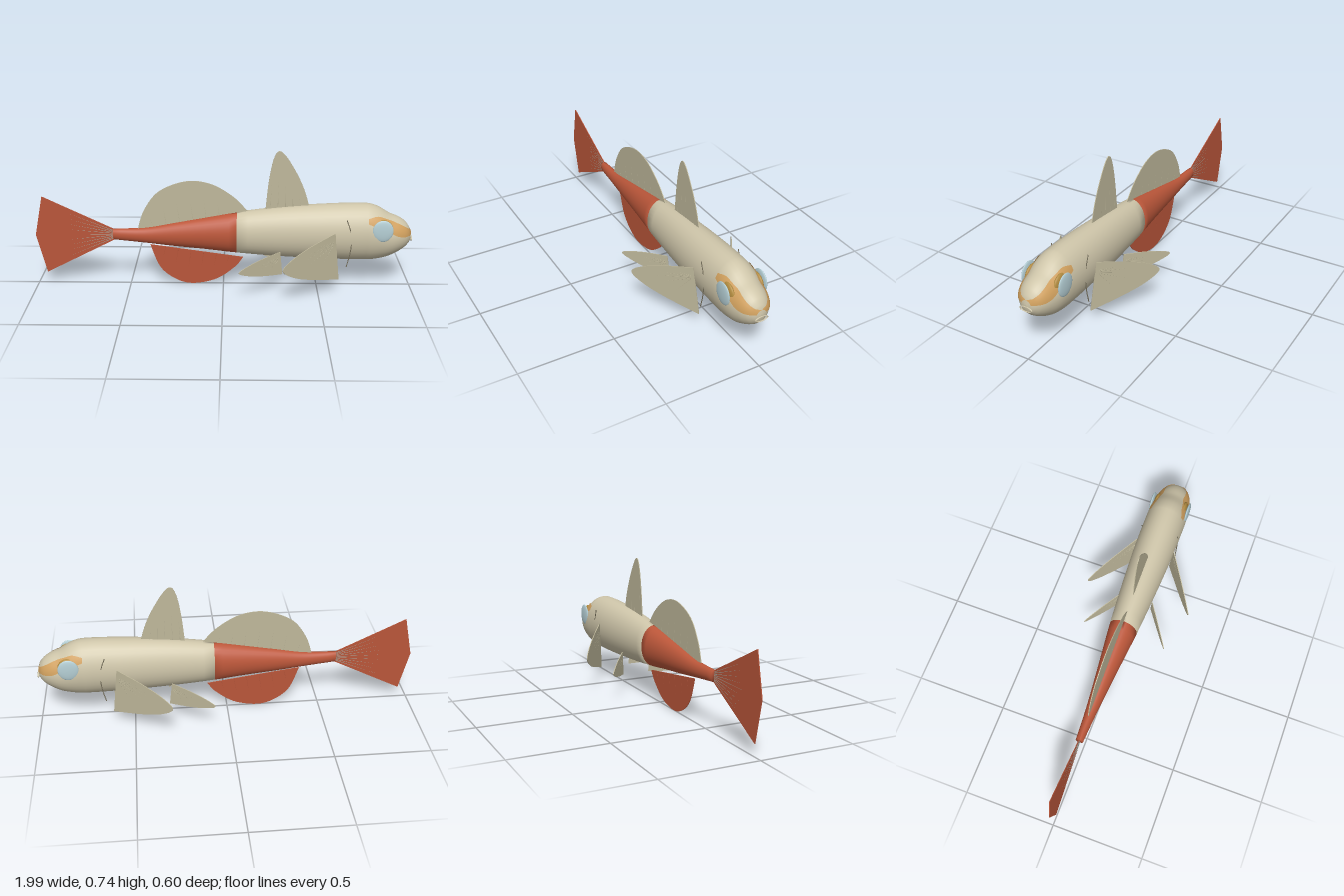
import * as THREE from 'three';

const paint = (name, color, side = THREE.FrontSide) => {
  const m = new THREE.MeshStandardMaterial({ color, side });
  m.name = name;
  return m;
};

// Body stations, tail to snout: x, top, bottom, half width
const STATIONS = [
  [-0.585, 0.316, 0.257, 0.02], [-0.42, 0.323, 0.24, 0.03], [-0.26, 0.352, 0.222, 0.044],
  [-0.1, 0.382, 0.207, 0.06], [0.07, 0.413, 0.188, 0.077], [0.3, 0.443, 0.17, 0.094],
  [0.55, 0.462, 0.159, 0.107], [0.75, 0.466, 0.155, 0.109], [0.81, 0.45, 0.161, 0.107],
  [0.87, 0.414, 0.177, 0.099], [0.92, 0.393, 0.202, 0.085], [0.955, 0.37, 0.226, 0.066],
  [0.975, 0.345, 0.247, 0.045], [0.984, 0.325, 0.262, 0.028], [0.989, 0.3, 0.284, 0.008],
];

// Cubic interpolation of a table along its first column
function lookup(table, x) {
  let i = 0;
  while (i < table.length - 2 && x > table[i + 1][0]) i++;
  const a = table[i], b = table[i + 1];
  const p = table[Math.max(i - 1, 0)], q = table[Math.min(i + 2, table.length - 1)];
  const h = b[0] - a[0], t = (x - a[0]) / h, t2 = t * t, t3 = t2 * t;
  return a.slice(1).map((v, k) => {
    const w = b[k + 1];
    const m0 = (w - p[k + 1]) / (b[0] - p[0]) * h, m1 = (q[k + 1] - v) / (q[0] - a[0]) * h;
    return (2 * t3 - 3 * t2 + 1) * v + (t3 - 2 * t2 + t) * m0 + (3 * t2 - 2 * t3) * w + (t3 - t2) * m1;
  });
}
function section(x) {
  const [top, bottom, hw] = lookup(STATIONS, x);
  return { cy: (top + bottom) / 2, hh: (top - bottom) / 2, hw };
}

function indexed(pos, idx) {
  const g = new THREE.BufferGeometry();
  g.setAttribute('position', new THREE.Float32BufferAttribute(pos, 3));
  g.setIndex(idx);
  g.computeVertexNormals();
  return g;
}

// Elliptical loft between two stations, closed at both ends
function loft(from, to) {
  const N = 32, xs = [], pos = [], idx = [];
  for (let s = from; s < to; s++)
    for (let k = 0; k < 4; k++)
      xs.push(STATIONS[s][0] + (STATIONS[s + 1][0] - STATIONS[s][0]) * k / 4);
  xs.push(STATIONS[to][0]);
  for (const x of xs) {
    const { cy, hh, hw } = section(x);
    for (let j = 0; j < N; j++) {
      const a = j / N * Math.PI * 2;
      pos.push(x, cy + hh * Math.cos(a), hw * Math.sin(a));
    }
  }
  for (let i = 0; i < xs.length - 1; i++)
    for (let j = 0; j < N; j++) {
      const a = i * N + j, b = i * N + (j + 1) % N;
      idx.push(a, b, a + N, b, b + N, a + N);
    }
  const last = (xs.length - 1) * N;
  for (let j = 1; j < N - 1; j++) idx.push(0, j + 1, j, last, last + j, last + j + 1);
  return indexed(pos, idx);
}

// Band rows: x, lower edge y, upper edge y
const BAND = [
  [0.75, 0.385, 0.41], [0.8, 0.365, 0.418], [0.85, 0.345, 0.4], [0.9, 0.318, 0.379],
  [0.94, 0.307, 0.358], [0.97, 0.305, 0.338], [0.985, 0.303, 0.322],
];

// Curved patch that follows one side of the head
function bandGeometry(side) {
  const M = 24, K = 6, pos = [], idx = [];
  for (let i = 0; i <= M; i++) {
    const x = 0.75 + 0.235 * i / M, [lo, hi] = lookup(BAND, x), { cy, hh, hw } = section(x);
    for (let k = 0; k <= K; k++) {
      const s = THREE.MathUtils.clamp((lo + (hi - lo) * k / K - cy) / hh, -1, 1);
      const c = Math.sqrt(1 - s * s), n = new THREE.Vector2(s / hh, c / hw).normalize();
      pos.push(x + 0.002, cy + hh * s + n.x * 0.003, side * (hw * c + n.y * 0.003));
      if (i < M && k < K) {
        const a = i * (K + 1) + k, b = a + K + 1;
        if (side > 0) idx.push(a, b, a + 1, b, b + 1, a + 1);
        else idx.push(a, a + 1, b, b, a + 1, b + 1);
      }
    }
  }
  return indexed(pos, idx);
}

// Flat fin: straight base corners, curved or straight rim, and rays from base to rim
function fin(name, rim, rays, mat, rayMat, curved = true) {
  const group = new THREE.Group();
  group.name = name;
  const v = rim.map(([x, y]) => new THREE.Vector2(x, y));
  const shape = new THREE.Shape();
  shape.moveTo(v[0].x, v[0].y);
  if (curved) shape.splineThru(v.slice(1));
  else v.slice(1).forEach((p) => shape.lineTo(p.x, p.y));
  shape.closePath();
  const blade = new THREE.Mesh(new THREE.ExtrudeGeometry(shape, {
    depth: 0.004, bevelEnabled: false, curveSegments: 28 }), mat);
  blade.position.z = -0.002;
  blade.name = name + 'Blade';
  group.add(blade);
  for (const [x0, y0, x1, y1] of rays) {
    const dx = x1 - x0, dy = y1 - y0;
    const ray = new THREE.Mesh(new THREE.CylinderGeometry(0.0015, 0.003, Math.hypot(dx, dy), 6), rayMat);
    ray.position.set((x0 + x1) / 2, (y0 + y1) / 2, 0);
    ray.rotation.z = Math.atan2(-dx, dy);
    ray.name = name + 'Ray';
    group.add(ray);
  }
  return group;
}

export function createModel() {
  const cream = paint('cream skin', 0xcfc6aa), red = paint('rust red', 0xbc573a);
  const finMat = paint('pale fin', 0xbfb89b, THREE.DoubleSide);
  const redFin = paint('red fin', 0xb9563a, THREE.DoubleSide);
  const orange = paint('orange band', 0xd0a05e, THREE.DoubleSide);
  const gold = paint('gold eye rim', 0xb28c40), blue = paint('pale blue lens', 0xb6d0d6);
  const grey = paint('grey ray', 0xa9a59a), dark = paint('gill brown', 0x77705c);

  const model = new THREE.Group();
  const add = (name, geo, mat, parent = model) => {
    const m = new THREE.Mesh(geo, mat);
    m.name = name;
    parent.add(m);
    return m;
  };

  // Body in two colours
  add('tailBody', loft(0, 4), red);
  add('frontBody', loft(4, STATIONS.length - 1), cream);

  // Fins on the centre line
  model.add(fin('firstDorsalFin',
    [[0.22, 0.42], [0.235, 0.58], [0.257, 0.7], [0.285, 0.747], [0.325, 0.718], [0.385, 0.62], [0.425, 0.53], [0.45, 0.445]],
    [0, 1, 2, 3, 4].map((i) => [0.245 + i * 0.04, 0.43, 0.255 + i * 0.034, [0.67, 0.73, 0.71, 0.65, 0.56][i]]), finMat, finMat));
  model.add(fin('secondDorsalFin',
    [[-0.455, 0.315], [-0.42, 0.42], [-0.34, 0.525], [-0.2, 0.582], [-0.07, 0.57], [0.05, 0.5], [0.135, 0.41]],
    [0, 1, 2, 3, 4, 5, 6].map((i) => [-0.37 + i * 0.07, 0.32 + i * 0.012, -0.405 + i * 0.073, [0.43, 0.52, 0.56, 0.57, 0.56, 0.53, 0.47][i]]), finMat, finMat));
  model.add(fin('analFin',
    [[-0.39, 0.228], [-0.34, 0.1], [-0.26, 0.03], [-0.165, 0.004], [-0.04, 0.03], [0.06, 0.1], [0.105, 0.158]],
    [0, 1, 2, 3, 4, 5].map((i) => [-0.31 + i * 0.068, 0.21 - i * 0.009, -0.335 + i * 0.068, [0.11, 0.05, 0.02, 0.02, 0.04, 0.08][i]]), redFin, redFin));
  model.add(fin('tailFin',
    [[-0.575, 0.312], [-0.955, 0.495], [-1, 0.28], [-0.95, 0.065], [-0.575, 0.258]],
    [-4, -3, -2, -1, 0, 1, 2, 3, 4].map((i) => [-0.58, 0.285 + i * 0.005, -0.96 + Math.abs(i) * 0.006, 0.281 + i * 0.042]),
    redFin, grey, false));

  // Small lips and nose bump
  const lips = add('lips', new THREE.TorusGeometry(0.032, 0.004, 8, 32), cream);
  lips.rotation.y = Math.PI / 2;
  lips.scale.y = 0.4;
  lips.position.set(0.99, 0.278, 0);
  const nose = add('noseBump', new THREE.SphereGeometry(0.012, 16, 10), orange);
  nose.scale.set(0.5, 0.5, 1);
  nose.position.set(0.979, 0.318, 0);

  for (const s of [1, -1]) {
    const side = s > 0 ? 'right' : 'left';

    // Paired fins sweep outward and back
    const paired = (name, rim, rays, x, z) => {
      const k = Math.hypot(1, 0.68);
      const f = fin(side + name, rim.map(([a, b]) => [(a - x) * k, b]),
        rays.map(([a, b, c, d]) => [(a - x) * k, b, (c - x) * k, d]), finMat, finMat);
      f.position.set(x, 0, s * z);
      f.rotation.y = s * Math.atan(0.68);
      model.add(f);
    };
    paired('PectoralFin',
      [[0.58, 0.338], [0.45, 0.3], [0.35, 0.255], [0.303, 0.207], [0.36, 0.155], [0.46, 0.113], [0.61, 0.07]],
      [[0.57, 0.29, 0.42, 0.28], [0.57, 0.285, 0.34, 0.24], [0.57, 0.28, 0.32, 0.2], [0.57, 0.275, 0.37, 0.16], [0.57, 0.27, 0.47, 0.12]],
      0.58, 0.108);
    paired('PelvicFin',
      [[0.298, 0.225], [0.2, 0.21], [0.12, 0.188], [0.082, 0.165], [0.13, 0.137], [0.21, 0.113], [0.312, 0.094]],
      [[0.29, 0.19, 0.16, 0.192], [0.29, 0.187, 0.1, 0.168], [0.29, 0.183, 0.14, 0.14], [0.29, 0.18, 0.22, 0.12]],
      0.3, 0.086);

    // Eye: gold rim behind a pale lens
    const rim = add(side + 'EyeRim', new THREE.SphereGeometry(1, 32, 16), gold);
    rim.scale.set(0.058, 0.058, 0.018);
    rim.position.set(0.826, 0.346, s * 0.079);
    const lens = add(side + 'EyeLens', new THREE.SphereGeometry(1, 32, 16), blue);
    lens.scale.set(0.054, 0.059, 0.01);
    lens.position.set(0.826, 0.35, s * 0.103);

    // Head band and gill arc
    add(side + 'HeadBand', bandGeometry(s), orange);
    const arc = new THREE.CatmullRomCurve3([[0.638, 0.41], [0.66, 0.345], [0.666, 0.28], [0.66, 0.215], [0.645, 0.15]]
      .map(([x, y]) => new THREE.Vector3(x, y, s * 0.104)));
    add(side + 'GillArc', new THREE.TubeGeometry(arc, 24, 0.0025, 6), dark);
  }
  return model;
}
